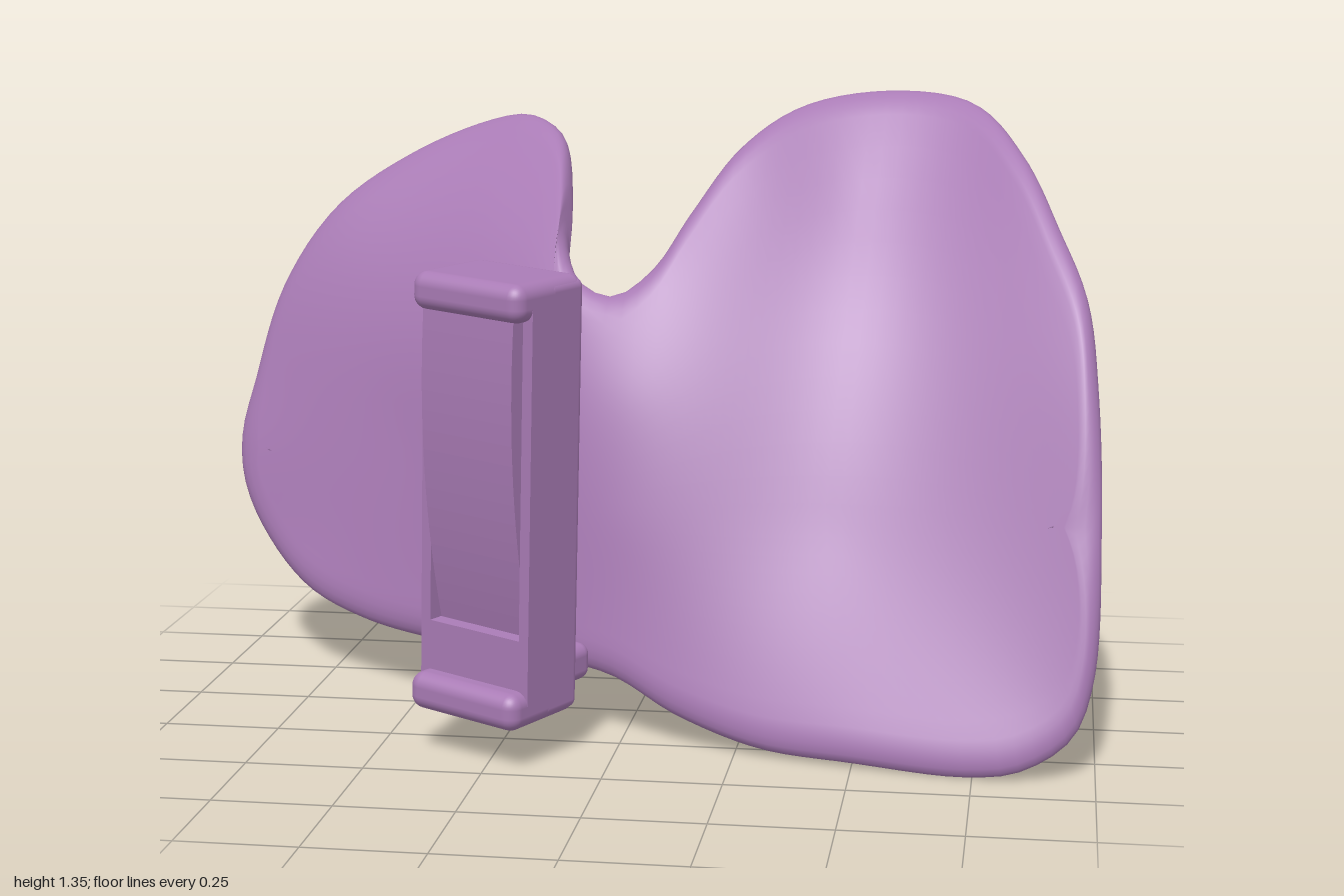
import * as THREE from 'three';
import { RoundedBoxGeometry } from 'three/addons/geometries/RoundedBoxGeometry.js';

// Rim of the curved plate, clockwise from the far right wing: x, y, z
const RIM = [
  [-1, 0.52, -0.39], [-0.965, 0.67, -0.42], [-0.9, 0.88, -0.455], [-0.78, 1.06, -0.49],
  [-0.6, 1.185, -0.52], [-0.42, 1.26, -0.525], [-0.32, 1.277, -0.49], [-0.23, 1.24, -0.4],
  [-0.188, 1.14, -0.25], [-0.176, 1.03, -0.12], [-0.13, 0.95, -0.04], [-0.05, 0.925, -0.01], [0.03, 0.98, -0.035],
  [0.1, 1.09, -0.125], [0.2, 1.23, -0.245], [0.33, 1.315, -0.365], [0.52, 1.345, -0.425],
  [0.7, 1.325, -0.37], [0.82, 1.22, -0.2], [0.9, 1.08, -0.045], [0.96, 0.95, 0.07],
  [0.985, 0.78, 0.17], [1, 0.5, 0.27], [0.99, 0.2, 0.35], [0.95, 0.09, 0.375],
  [0.85, 0.022, 0.39], [0.74, 0.003, 0.385], [0.5, 0.01, 0.345], [0.3, 0.018, 0.295],
  [0.12, 0.066, 0.24], [-0.03, 0.135, 0.19], [-0.2, 0.15, 0.12], [-0.45, 0.143, -0.01],
  [-0.65, 0.155, -0.13], [-0.8, 0.2, -0.22], [-0.92, 0.3, -0.31], [-0.985, 0.41, -0.36],
];
// Points that shape the dished middle
const DISH = [
  [0.45, 0.45, 0.14], [0.45, 0.72, 0.025], [0.45, 0.9, -0.075], [0.45, 1.1, -0.225], [0.5, 1.24, -0.335],
  [0, 0.72, 0.09], [0, 0.45, 0.15], [-0.55, 0.6, -0.17], [-0.36, 1.08, -0.28],
];

// Smooth height field z(x, y) through the points (thin-plate spline)
function heightField(pts) {
  const n = pts.length, m = n + 3;
  const phi = (dx, dy) => { const r = dx * dx + dy * dy; return r < 1e-12 ? 0 : r * Math.log(r); };
  const row = (x, y) => [...pts.map((p) => phi(x - p[0], y - p[1])), 1, x, y];
  const A = pts.map((p, i) => {
    const r = row(p[0], p[1]);
    r[i] += 0.003; // slight smoothing
    return [...r, p[2]];
  });
  for (let k = 0; k < 3; k++) A.push([...pts.map((p) => [1, p[0], p[1]][k]), 0, 0, 0, 0]);
  for (let c = 0; c < m; c++) {
    let best = c;
    for (let r = c + 1; r < m; r++) if (Math.abs(A[r][c]) > Math.abs(A[best][c])) best = r;
    [A[c], A[best]] = [A[best], A[c]];
    for (let r = 0; r < m; r++) {
      if (r === c) continue;
      const f = A[r][c] / A[c][c];
      for (let j = c; j <= m; j++) A[r][j] -= f * A[c][j];
    }
  }
  const w = A.map((r, i) => r[m] / r[i]);
  return (x, y) => row(x, y).reduce((s, v, i) => s + v * w[i], 0);
}

// Thin plate with a tapered, rounded rim, built from loops running inner line -> rim -> inner line
function plateGeometry() {
  const N = 180, HALF = 0.031, ROUND = 0.065, SPINE_Y = 0.5;
  const z = heightField([...RIM, ...DISH]);
  const curve = new THREE.CatmullRomCurve3(RIM.map((p) => new THREE.Vector3(...p)), true);
  const outline = curve.getSpacedPoints(N).slice(0, N);
  const normalAt = (x, y) => {
    const e = 0.004;
    return new THREE.Vector3((z(x - e, y) - z(x + e, y)) / (2 * e), (z(x, y - e) - z(x, y + e)) / (2 * e), 1).normalize();
  };
  const steps = [];
  for (let k = 0; k <= 12; k++) steps.push({ s: k / 12 });
  for (const a of [0.2, 0.4, 0.6, 0.8, 1]) steps.push({ a });
  const half = steps.length;
  const rows = [...steps.map((t) => [t, 1]), ...steps.slice(0, -1).reverse().map((t) => [t, -1])];
  const pos = [], index = [], innerNormals = [];
  rows.forEach(([t, side], k) => outline.forEach((o, i) => {
    // upper and lower halves overlap a little at the inner line
    const tx = o.x * 0.9, ty = SPINE_Y - Math.sign(o.y - SPINE_Y) * 0.005;
    const len = Math.hypot(o.x - tx, o.y - ty);
    // distance from the rim, then thickness at that distance
    const d = t.a !== undefined
      ? ROUND * (1 - Math.sin(t.a * Math.PI / 2))
      : ROUND + (len - ROUND) * (1 - t.s);
    const h = t.a !== undefined ? HALF * Math.cos(t.a * Math.PI / 2) : HALF;
    const f = d / len;
    const x = o.x + (tx - o.x) * f, y = o.y + (ty - o.y) * f;
    const n = normalAt(x, y).multiplyScalar(side);
    pos.push(x + n.x * h, y + n.y * h, z(x, y) + n.z * h);
    if (k === 0 || k === rows.length - 1) innerNormals.push([k * N + i, n]);
    if (k < 2 * half - 2) {
      const j = (i + 1) % N, a = k * N + i, b = k * N + j;
      index.push(a, b, a + N, b, b + N, a + N);
    }
  }));
  const g = new THREE.BufferGeometry();
  g.setAttribute('position', new THREE.Float32BufferAttribute(pos, 3));
  g.setIndex(index);
  g.computeVertexNormals();
  innerNormals.forEach(([i, n]) => g.attributes.normal.setXYZ(i, n.x, n.y, n.z));
  return g;
}

export function createModel() {
  const model = new THREE.Group();
  const material = new THREE.MeshStandardMaterial({ color: 0xa97bb5 });
  const add = (parent, name, geometry, x = 0, y = 0, z = 0) => {
    const mesh = new THREE.Mesh(geometry, material);
    mesh.name = name;
    mesh.position.set(x, y, z);
    parent.add(mesh);
  };

  add(model, 'curvedPlate', plateGeometry());

  // Upright block, turned and slightly tilted
  const block = new THREE.Group();
  block.name = 'uprightBlock';
  block.position.set(-0.243, 0.56, 0.36);
  block.rotation.set(0.024, -0.48, -0.045, 'YXZ');
  model.add(block);

  add(block, 'blockBack', new RoundedBoxGeometry(0.285, 0.92, 0.12, 4, 0.02), 0, 0, -0.05);
  for (const s of [1, -1]) {
    add(block, s > 0 ? 'topLip' : 'bottomLip', new RoundedBoxGeometry(0.285, 0.08, 0.225, 4, 0.03), 0, s * 0.427, 0);
  }

  // Frame around the front opening
  const frame = new THREE.Shape();
  frame.moveTo(-0.1425, -0.43).lineTo(0.1425, -0.43).lineTo(0.1425, 0.43).lineTo(-0.1425, 0.43);
  const opening = new THREE.Path();
  opening.moveTo(-0.118, -0.28).lineTo(-0.118, 0.39).lineTo(0.118, 0.39).lineTo(0.118, -0.28);
  frame.holes.push(opening);
  add(block, 'frontFrame', new THREE.ExtrudeGeometry(frame, { depth: 0.1, bevelEnabled: false }), 0, 0, -0.035);

  // Bowed pad in the opening, proud at the top and sunk at the bottom
  const profile = new THREE.Shape();
  profile.moveTo(-0.02, 0.39);
  profile.lineTo(0.095, 0.39);
  profile.quadraticCurveTo(0.115, 0.05, 0.03, -0.28);
  profile.lineTo(-0.02, -0.28);
  const pad = new THREE.ExtrudeGeometry(profile, { depth: 0.234, bevelEnabled: false, curveSegments: 16 });
  pad.translate(0, 0, -0.117).rotateY(-Math.PI / 2);
  add(block, 'frontPad', pad);

  // Stem and its wider foot, joining block and plate
  add(block, 'stem', new RoundedBoxGeometry(0.13, 0.6, 0.14, 3, 0.012), -0.035, -0.11, -0.155);
  add(block, 'stemFoot', new RoundedBoxGeometry(0.21, 0.08, 0.1, 3, 0.025), 0.01, -0.385, -0.145);

  return model;
}
